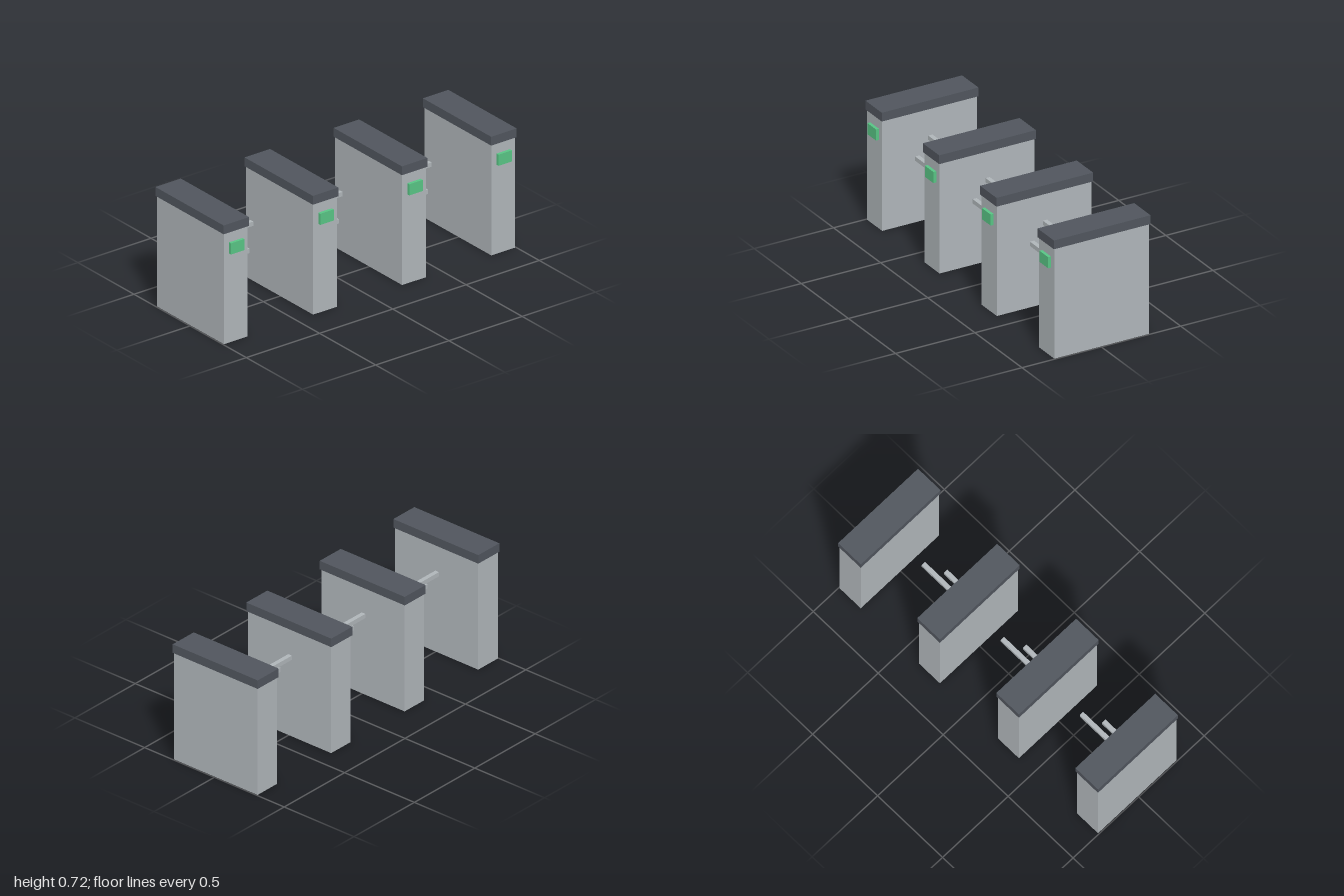
import * as THREE from 'three';

const mat = (name, color) => {
  const m = new THREE.MeshStandardMaterial({ color });
  m.name = name;
  return m;
};

export function createModel() {
  const steel = mat('brushed steel', 0xafb5b9);
  const dark = mat('dark grey', 0x50555d);
  const green = mat('signal green', 0x58c484);
  const model = new THREE.Group();
  model.name = 'turnstileRow';

  // Box given by its minimum and maximum corners
  const box = (parent, name, material, [x0, y0, z0], [x1, y1, z1]) => {
    const mesh = new THREE.Mesh(new THREE.BoxGeometry(x1 - x0, y1 - y0, z1 - z0), material);
    mesh.position.set((x0 + x1) / 2, (y0 + y1) / 2, (z0 + z1) / 2);
    mesh.name = name;
    parent.add(mesh);
  };

  [-0.913, -0.304, 0.304, 0.913].forEach((x, i) => {
    const gate = new THREE.Group();
    gate.name = 'gate' + (i + 1);
    gate.position.x = x;
    model.add(gate);

    // Cabinet, overhanging lid and card reader
    box(gate, 'cabinet', steel, [-0.081, 0, -0.304], [0.081, 0.664, 0.293]);
    box(gate, 'lid', dark, [-0.087, 0.664, -0.31], [0.087, 0.717, 0.299]);
    box(gate, 'cardReader', green, [-0.046, 0.535, 0.29], [0.046, 0.602, 0.311]);

    // Barrier arms across each passage; the last cabinet has none
    if (i < 3) {
      box(gate, 'upperArm', steel, [0.075, 0.477, -0.023], [0.343, 0.503, 0.003]);
      box(gate, 'lowerArm', steel, [0.075, 0.371, 0.059], [0.254, 0.397, 0.085]);
    }
  });
  return model;
}
